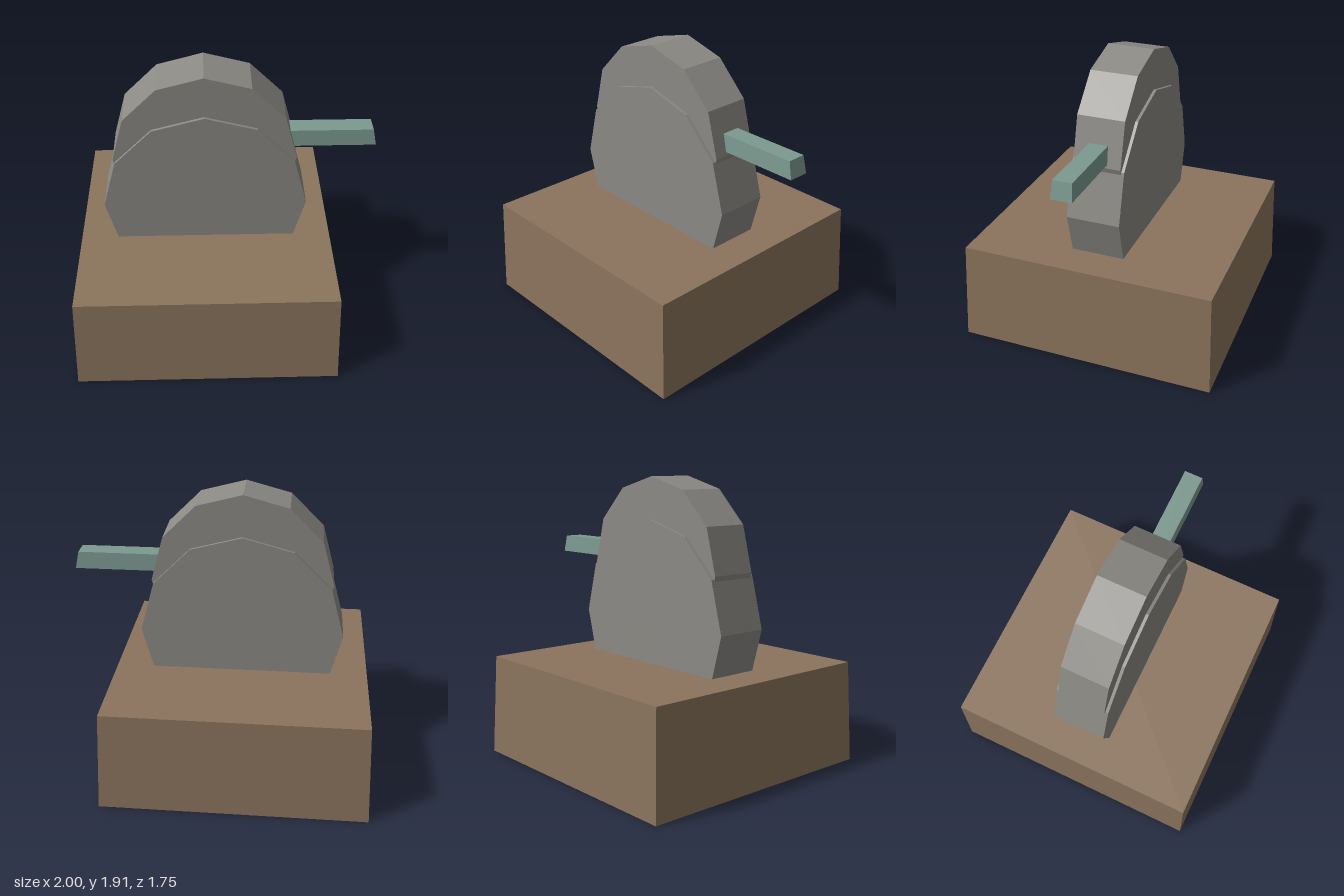
import * as THREE from 'three';

const material = (name, color) => {
  const m = new THREE.MeshStandardMaterial({ color, flatShading: true });
  m.name = name;
  return m;
};

// Box standing on y0 whose top is inset on all four sides
function taperedBox(x0, x1, y0, y1, halfDepth, inset) {
  const w = x1 - x0, h = y1 - y0, cx = (x0 + x1) / 2;
  const geo = new THREE.BoxGeometry(w, h, halfDepth * 2);
  const p = geo.attributes.position;
  for (let i = 0; i < p.count; i++) {
    if (p.getY(i) > 0) {
      p.setX(i, p.getX(i) - Math.sign(p.getX(i)) * inset);
      p.setZ(i, p.getZ(i) - Math.sign(p.getZ(i)) * inset);
    }
  }
  geo.translate(cx, (y0 + y1) / 2, 0);
  geo.computeVertexNormals();
  return geo;
}

// Twelve-sided disc facing the front, with a corner at the top
function disc(radius, halfDepth, y) {
  const geo = new THREE.CylinderGeometry(radius, radius, halfDepth * 2, 12);
  geo.rotateX(Math.PI / 2);
  geo.translate(-0.125, y, 0);
  return geo;
}

export function createModel() {
  const group = new THREE.Group();
  const wood = material('brown wood', 0x8b745d);
  const stone = material('grey stone', 0x8c8a85);
  const teal = material('teal metal', 0x7c9990);

  const add = (name, geo, mat) => {
    const mesh = new THREE.Mesh(geo, mat);
    mesh.name = name;
    group.add(mesh);
  };

  add('base', taperedBox(-1, 0.75, 0, 0.68, 0.875, 0.026), wood);
  add('lowerDisc', disc(0.675, 0.18, 0.96), stone);
  add('upperDisc', disc(0.597, 0.16, 1.317), stone);

  // Handle reaching out of the upper disc
  const handle = taperedBox(0.2, 1, 1.34, 1.455, 0.069, 0.006);
  const p = handle.attributes.position;
  for (let i = 0; i < p.count; i++) {
    if (p.getX(i) > 0.9 && p.getY(i) > 1.4) p.setX(i, 0.976);
  }
  handle.computeVertexNormals();
  add('handle', handle, teal);
  return group;
}
